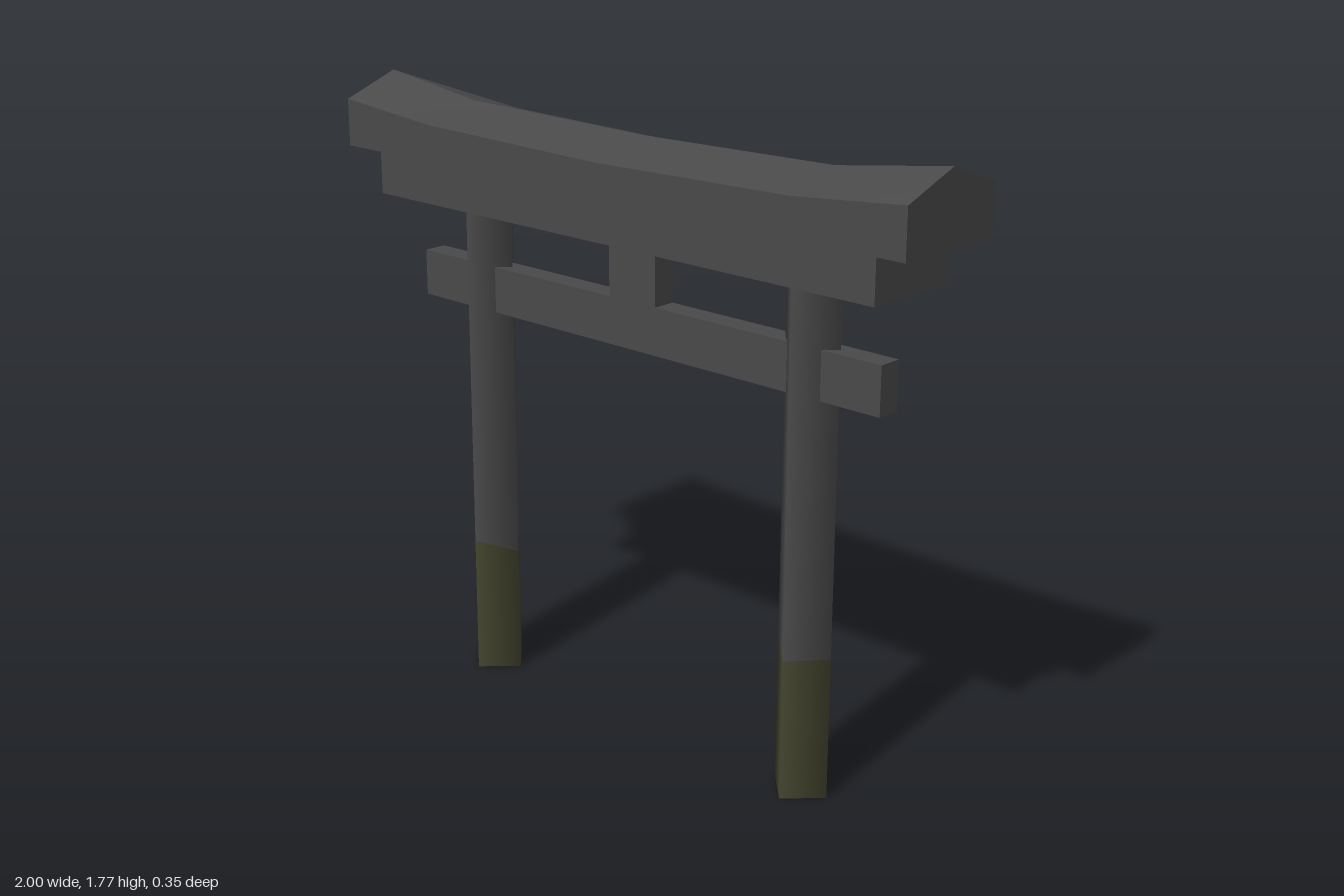
import * as THREE from 'three';

const stone = new THREE.MeshStandardMaterial({ color: 0x4a4a4a });
stone.name = 'dark stone';
const moss = new THREE.MeshStandardMaterial({ color: 0x44452e });
moss.name = 'moss';

function box(name, w, h, d, x, y) {
  const mesh = new THREE.Mesh(new THREE.BoxGeometry(w, h, d), stone);
  mesh.name = name;
  mesh.position.set(x, y, 0);
  return mesh;
}

// Four-cornered post with soft normals; the mossy foot ends at an uneven line.
// line: heights of that edge at the +z, +x, -z and -x corners.
function pillar(name, x, line) {
  const group = new THREE.Group();
  group.name = name;
  group.position.x = x;
  const edge = (px, pz) => {
    const k = Math.round(Math.atan2(px, pz) / (Math.PI / 2) + 4) % 4;
    return line[k];
  };
  const section = (part, low, high, material) => {
    const geo = new THREE.CylinderGeometry(0.09, 0.09, 1, 4, 1, false);
    const p = geo.attributes.position;
    for (let i = 0; i < p.count; i++) {
      const centre = Math.hypot(p.getX(i), p.getZ(i)) < 0.01;
      const e = centre ? 0.4 : edge(p.getX(i), p.getZ(i));
      p.setY(i, (p.getY(i) > 0 ? high : low) ?? e);
    }
    const mesh = new THREE.Mesh(geo, material);
    mesh.name = part;
    group.add(mesh);
  };
  section('mossyFoot', 0, null, moss);
  section('shaft', null, 1.44, stone);
  return group;
}

// Ridged top beam lofted through cross-sections, flat below and upswept at the ends
function roof() {
  const stations = [
    [-1, 1.706, 1.77], [-0.65, 1.675, 1.722], [0, 1.662, 1.71],
    [0.65, 1.675, 1.722], [1, 1.706, 1.77],
  ];
  const d = 0.175, bottom = 1.57;
  const rings = stations.map(([x, eave, ridge]) => [
    [x, bottom, d], [x, bottom, -d], [x, eave, -d], [x, ridge, 0], [x, eave, d],
  ]);
  const pos = [], index = [];
  // Each side is its own strip, so edges stay sharp and the sweep stays smooth
  for (let j = 0; j < 5; j++) {
    const start = pos.length / 3;
    rings.forEach((r, i) => {
      pos.push(...r[j], ...r[(j + 1) % 5]);
      if (i === rings.length - 1) return;
      const a = start + i * 2;
      index.push(a, a + 1, a + 2, a + 1, a + 3, a + 2);
    });
  }
  // Gable ends
  [rings[4], [...rings[0]].reverse()].forEach((ring) => {
    const s = pos.length / 3;
    ring.forEach((v) => pos.push(...v));
    for (let k = 1; k < 4; k++) index.push(s, s + k, s + k + 1);
  });
  const geo = new THREE.BufferGeometry();
  geo.setAttribute('position', new THREE.Float32BufferAttribute(pos, 3));
  geo.setIndex(index);
  geo.computeVertexNormals();
  const mesh = new THREE.Mesh(geo, stone);
  mesh.name = 'roofBeam';
  return mesh;
}

export function createModel() {
  const gate = new THREE.Group();
  gate.name = 'gate';
  gate.add(
    pillar('leftPillar', 0.597, [0.405, 0.41, 0.435, 0.405]),
    pillar('rightPillar', -0.597, [0.415, 0.38, 0.4, 0.41]),
    box('tieBeam', 1.68, 0.135, 0.07, 0, 1.1925),
    box('centreStrut', 0.17, 0.18, 0.07, 0, 1.35),
    box('upperBeam', 1.79, 0.13, 0.294, 0, 1.505),
    roof(),
  );
  return gate;
}
